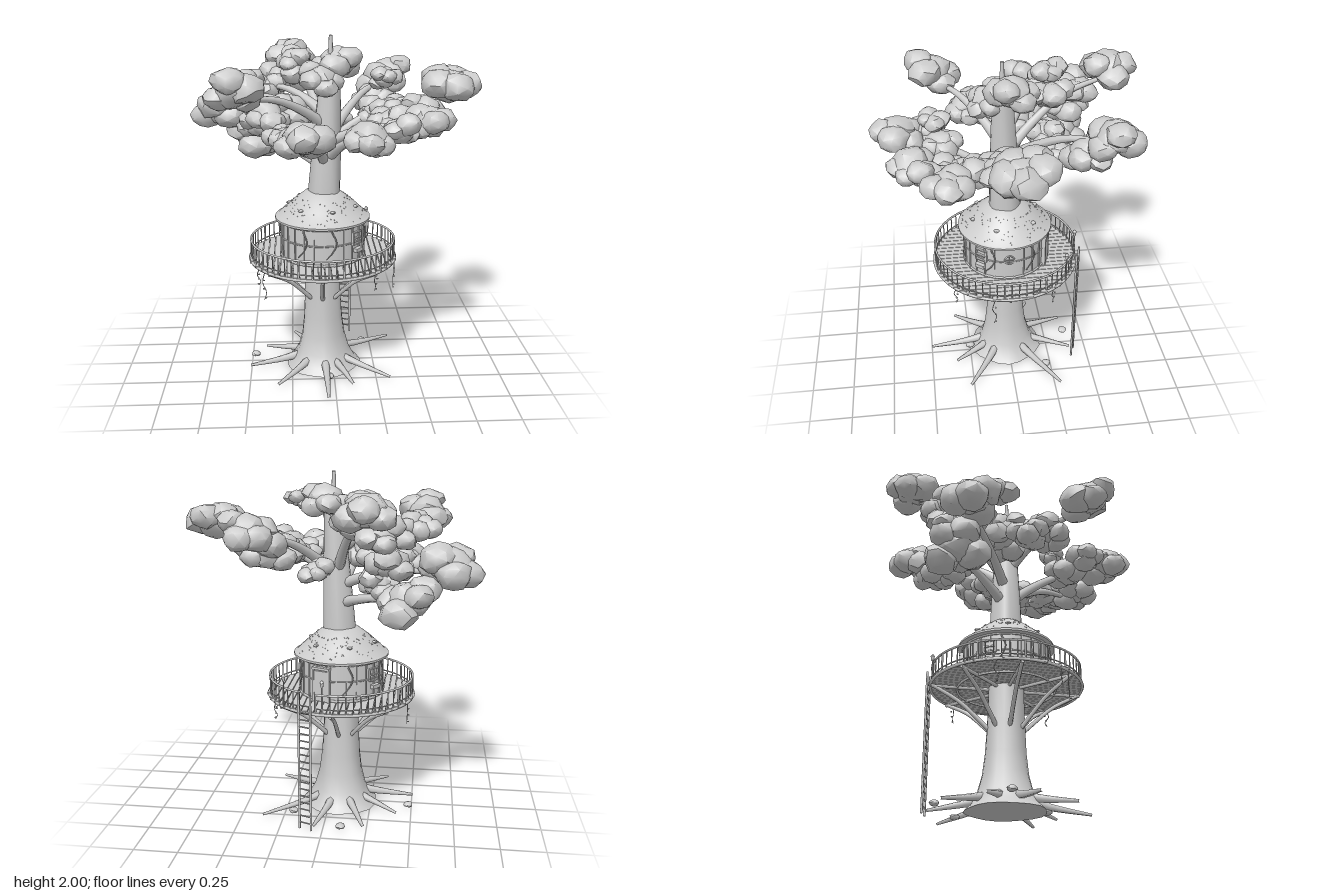
import * as THREE from 'three';
import { mergeGeometries, mergeVertices, toCreasedNormals } from 'three/addons/utils/BufferGeometryUtils.js';

const V = (x, y, z) => new THREE.Vector3(x, y, z);
const RAD = Math.PI / 180;
const CX = -0.06, CZ = 0.015; // tree axis at the deck

let seed = 7;
const rnd = () => { seed = (seed * 16807) % 2147483647; return seed / 2147483647; };
const spread = (s) => (rnd() * 2 - 1) * s;

// point at an angle, radius and height around the tree axis
const polar = (deg, r, y) => V(CX + Math.cos(deg * RAD) * r, y, CZ + Math.sin(deg * RAD) * r);

// straight rod between two points
function rod(a, b, r0, r1 = r0, sides = 6) {
  const g = new THREE.CylinderGeometry(r1, r0, a.distanceTo(b), sides);
  const q = new THREE.Quaternion().setFromUnitVectors(V(0, 1, 0), b.clone().sub(a).normalize());
  const m = a.clone().add(b).multiplyScalar(0.5);
  return g.applyQuaternion(q).translate(m.x, m.y, m.z);
}

// curved tube that thins towards its end
function taper(points, r0, r1, seg = 10, sides = 7) {
  const path = new THREE.CatmullRomCurve3(points);
  const g = new THREE.TubeGeometry(path, seg, r0, sides);
  const p = g.attributes.position, v = V(0, 0, 0);
  for (let i = 0; i < p.count; i++) {
    const t = Math.floor(i / (sides + 1)) / seg, c = path.getPointAt(t);
    v.fromBufferAttribute(p, i).sub(c).multiplyScalar(1 + (r1 / r0 - 1) * t).add(c);
    p.setXYZ(i, v.x, v.y, v.z);
  }
  return g;
}

// box on the house wall, facing outwards
function wallBox(deg, r, y, w, h, d) {
  const c = polar(deg, r, y);
  return new THREE.BoxGeometry(w, h, d).rotateY(Math.PI / 2 - deg * RAD).translate(c.x, c.y, c.z);
}

const ringAt = (r, y, t, sides = 6) =>
  new THREE.TorusGeometry(r, t, sides, 64).rotateX(Math.PI / 2).translate(CX, y, CZ);

// lumpy squashed ball with soft facets
function lump(x, y, z, r, squash = 0.8) {
  const g = new THREE.IcosahedronGeometry(1, 1);
  g.deleteAttribute('normal'); g.deleteAttribute('uv');
  const m = mergeVertices(g, 1e-4), p = m.attributes.position;
  for (let i = 0; i < p.count; i++) {
    const k = r * (1 + spread(0.1));
    p.setXYZ(i, p.getX(i) * k, p.getY(i) * k * squash, p.getZ(i) * k);
  }
  m.rotateY(rnd() * 6).translate(x, y, z);
  return toCreasedNormals(m, 0.75);
}

export function createModel() {
  const group = new THREE.Group();
  group.name = 'treeHouse';
  const grey = new THREE.MeshStandardMaterial({ color: 0xcccccc });
  grey.name = 'plainGrey';
  const add = (name, geos) => {
    const mesh = new THREE.Mesh(Array.isArray(geos) ? mergeGeometries(geos) : geos, grey);
    mesh.name = name;
    group.add(mesh);
  };

  // trunk: flared lathe, leaning slightly towards the top
  const profile = [[0, 0], [0.225, 0], [0.19, 0.035], [0.155, 0.1], [0.129, 0.2], [0.115, 0.32], [0.106, 0.5], [0.1, 0.7],
    [0.094, 1.1], [0.086, 1.3], [0.075, 1.5], [0.063, 1.7], [0.055, 1.87], [0, 1.88]].map(([r, y]) => new THREE.Vector2(r, y));
  const lean = (y) => [CX + 0.05 * Math.max(0, y - 0.9), 0.012 + 0.02 * Math.max(0, y - 0.9)];
  const trunk = new THREE.LatheGeometry(profile, 20);
  const tp = trunk.attributes.position;
  for (let i = 0; i < tp.count; i++) {
    const x = tp.getX(i), y = tp.getY(i), z = tp.getZ(i), a = Math.atan2(x, z), [lx, lz] = lean(y);
    const k = 1 + 0.03 * Math.sin(a * 5 + y * 4);
    tp.setXYZ(i, x * k + lx, y, z * k + lz);
  }
  add('trunk', toCreasedNormals(trunk, 0.9));
  add('topSpike', rod(V(-0.012, 1.85, 0.032), V(-0.012, 2, 0.032), 0.016, 0.01, 8));

  // roots: angle and reach
  const roots = [[-36, 0.53], [32, 0.47], [62, 0.37], [87, 0.485], [130, 0.42], [170, 0.45], [207, 0.4], [245, 0.42], [285, 0.43]];
  add('roots', roots.map(([a, l]) =>
    taper([polar(a, 0.12, 0.068), polar(a, 0.25, 0.042), polar(a + 1, l, 0.014)], 0.027, 0.008, 6, 6)));

  // deck planks, rim and joists
  const R = 0.43, planks = [];
  for (let x = -R + 0.018; x < R; x += 0.0359) {
    const half = Math.sqrt(R * R - x * x);
    planks.push(new THREE.BoxGeometry(0.032, 0.014, half * 2).translate(CX + x, 0.709, CZ));
  }
  add('deckPlanks', planks);
  add('deckRim', [ringAt(0.432, 0.705, 0.009), ringAt(0.28, 0.694, 0.007)]);
  const joists = [], braces = [];
  for (let i = 0; i < 8; i++) {
    const a = i * 45 + 2;
    joists.push(rod(polar(a, 0.08, 0.692), polar(a, 0.43, 0.692), 0.01));
    braces.push(taper([polar(a, 0.1, 0.455), polar(a, 0.17, 0.522), polar(a, 0.27, 0.61), polar(a, 0.41, 0.69)], 0.013, 0.011, 8, 6));
  }
  add('deckJoists', joists);
  add('deckBraces', braces);

  // railing with a gap at the ladder
  const LA = -69.6, posts = [], rail = [];
  for (let i = 0; i <= 60; i++) {
    const a = LA + 7 + i * (346 / 60);
    posts.push(rod(polar(a, 0.425, 0.71), polar(a, 0.425, 0.818), i % 6 ? 0.0035 : 0.006, undefined, 5));
    rail.push(polar(a, 0.425, 0.817));
  }
  add('railPosts', posts);
  add('handRail', [new THREE.TubeGeometry(new THREE.CatmullRomCurve3(rail), 90, 0.0065, 6),
    new THREE.TubeGeometry(new THREE.CatmullRomCurve3(rail.map((p) => p.clone().setY(0.735))), 90, 0.004, 5)]);

  // ladder
  const ladder = [-4.7, 4.7].map((d) => rod(polar(LA + d, 0.455, 0), polar(LA + d, 0.455, 0.82), 0.007));
  for (let i = 0; i < 18; i++) {
    const y = 0.04 + i * 0.042;
    ladder.push(rod(polar(LA - 4.7, 0.455, y), polar(LA + 4.7, 0.455, y), 0.0045, undefined, 5));
  }
  add('ladder', ladder);

  // lamp posts beside the ladder
  for (const [x, z] of [[0.23, -0.315], [0, -0.405]]) {
    add('lampPost', [rod(V(x, 0.71, z), V(x, 0.87, z), 0.004),
      rod(V(x, 0.865, z), V(x, 0.89, z), 0.008, 0.012), rod(V(x, 0.89, z), V(x, 0.905, z), 0.014, 0.003)]);
  }

  // round house wall with battens and bands
  add('houseWall', new THREE.CylinderGeometry(0.246, 0.246, 0.235, 48).translate(CX, 0.832, CZ));
  const battens = [];
  for (let i = 0; i < 26; i++) battens.push(wallBox(i * 360 / 26 + 7, 0.247, 0.832, 0.007, 0.235, 0.01));
  add('wallBattens', battens);
  add('wallBands', [ringAt(0.246, 0.724, 0.008), ringAt(0.246, 0.84, 0.005), ringAt(0.25, 0.938, 0.007)]);

  // door towards the ladder
  add('door', [wallBox(LA, 0.252, 0.81, 0.085, 0.18, 0.02), wallBox(LA - 10.5, 0.254, 0.815, 0.014, 0.2, 0.03),
    wallBox(LA + 10.5, 0.254, 0.815, 0.014, 0.2, 0.03), wallBox(LA, 0.254, 0.915, 0.11, 0.014, 0.03)]);

  // round window, square windows and flower boxes
  const w = polar(0, 0.25, 0.855);
  add('roundWindow', [new THREE.TorusGeometry(0.028, 0.005, 6, 20).rotateY(Math.PI / 2).translate(w.x, w.y, w.z),
    rod(V(w.x, 0.828, w.z), V(w.x, 0.882, w.z), 0.003), rod(V(w.x, w.y, w.z - 0.027), V(w.x, w.y, w.z + 0.027), 0.003)]);
  for (const a of [40, 215]) {
    add('window', [wallBox(a, 0.25, 0.865, 0.07, 0.008, 0.016), wallBox(a, 0.25, 0.9, 0.07, 0.008, 0.016),
      wallBox(a, 0.25, 0.83, 0.07, 0.008, 0.016), wallBox(a - 8, 0.25, 0.865, 0.008, 0.075, 0.016),
      wallBox(a + 8, 0.25, 0.865, 0.008, 0.075, 0.016), wallBox(a, 0.262, 0.795, 0.06, 0.022, 0.025)]);
  }

  // conical roof with eave and scattered studs
  const roof = [[0.235, 0.935], [0.28, 0.945], [0.28, 0.957], [0.265, 0.964], [0.2, 1.025], [0.15, 1.068], [0.1, 1.105], [0.08, 1.11]];
  add('roof', toCreasedNormals(new THREE.LatheGeometry(roof.map(([r, y]) => new THREE.Vector2(r, y)), 40).translate(CX, 0, CZ), 0.5));
  const studs = [];
  for (let i = 0; i < 170; i++) {
    const t = rnd(), c = polar(rnd() * 360, 0.26 - t * 0.12, 0.969 + t * 0.109);
    studs.push(new THREE.OctahedronGeometry(0.003 + rnd() * 0.002).translate(c.x, c.y, c.z));
  }
  add('roofStuds', studs);
  const moss = [];
  for (const a of [20, 75, 130, 190, 250, 310]) {
    const c = polar(a, 0.2, 1.026);
    moss.push(lump(c.x, c.y, c.z, 0.016, 0.5));
  }
  add('roofMoss', moss);

  // creepers on the wall and hanging from the deck
  const vines = [];
  for (const a of [118, 25, 80, 200, 255, 330]) {
    vines.push(taper([polar(a, 0.255, 0.93), polar(a - 6, 0.26, 0.86), polar(a, 0.258, 0.8), polar(a + 7, 0.257, 0.765)], 0.005, 0.003, 10, 5));
  }
  for (const [a, l] of [[14, 0.17], [48, 0.1], [142, 0.17], [150, 0.1], [200, 0.13], [325, 0.1]]) {
    vines.push(taper([polar(a, 0.43, 0.7), polar(a + 2, 0.435, 0.7 - l * 0.4), polar(a - 1, 0.425, 0.7 - l * 0.7), polar(a + 1, 0.43, 0.7 - l)], 0.003, 0.002, 8, 5));
    for (let k = 1; k < 4; k++) {
      const c = polar(a + spread(1.5), 0.432, 0.7 - l * k * 0.3);
      vines.push(new THREE.SphereGeometry(0.006, 6, 4).scale(1.3, 0.7, 1).translate(c.x, c.y, c.z));
    }
  }
  add('vines', vines);

  // stones around the base
  add('stones', [[-0.48, -0.06], [-0.1, -0.38], [-0.03, 0.25], [0.2, -0.22]]
    .map(([x, z]) => lump(x, 0.018, z, 0.028, 0.6)));

  // branches: start height on the trunk, then tip
  const limbs = [[1.45, -0.25, 1.78, -0.58], [1.36, -0.62, 1.5, -0.32], [1.42, 0.36, 1.68, -0.5], [1.4, 0.62, 1.66, 0], [1.4, 0.45, 1.54, 0.33],
    [1.3, 0.17, 1.48, 0.48], [1.28, -0.18, 1.5, 0.6], [1.5, -0.5, 1.7, 0.37], [1.25, -0.43, 1.34, -0.37], [1.55, -0.38, 1.7, -0.22]];
  add('branches', limbs.map(([y, tx, ty, tz]) => {
    const [sx, sz] = lean(y), at = (t, h) => V(sx + (tx - sx) * t, y + (ty - y) * h, sz + (tz - sz) * t);
    return taper([at(0, -0.1), at(0.25, 0.4), at(0.6, 0.85), at(1, 1)], 0.034, 0.012, 12, 8);
  }));

  // foliage clusters at the branch tips: centre and size
  const tips = [[-0.25, 1.845, -0.6, 0.14], [-0.67, 1.54, -0.33, 0.15], [0.37, 1.73, -0.51, 0.135], [0.67, 1.71, 0, 0.15],
    [0.5, 1.57, 0.36, 0.125], [0.16, 1.53, 0.54, 0.125], [-0.18, 1.54, 0.61, 0.135], [-0.53, 1.75, 0.39, 0.145],
    [-0.46, 1.36, -0.36, 0.15], [0.03, 1.85, -0.02, 0.13]];
  // foliage clusters along the branches
  const inner = [[-0.3, 1.7, -0.43, 0.12], [-0.17, 1.73, -0.25, 0.125], [-0.51, 1.72, -0.13, 0.1], [-0.36, 1.56, -0.39, 0.12],
    [0.28, 1.6, -0.39, 0.135], [0.49, 1.59, 0.07, 0.115], [0.33, 1.58, 0.02, 0.105], [0.31, 1.53, 0.19, 0.12], [0.32, 1.54, 0.45, 0.11],
    [-0.13, 1.48, 0.37, 0.115], [-0.27, 1.5, 0.45, 0.105], [-0.37, 1.6, 0.2, 0.115], [-0.42, 1.51, 0.06, 0.11], [-0.29, 1.42, -0.26, 0.105],
    [-0.07, 1.77, 0.1, 0.115], [-0.24, 1.58, -0.06, 0.125], [-0.22, 1.84, -0.24, 0.1], [0.25, 1.55, -0.02, 0.1], [0.05, 1.48, -0.28, 0.085],
    [0.25, 1.81, 0.41, 0.075], [-0.38, 1.68, -0.23, 0.1], [0.21, 1.49, 0.32, 0.1]];
  for (const [x, y, z, s] of [...tips, ...inner]) {
    const lumps = [lump(x, y, z, s * 0.8)];
    const turn = rnd() * 6;
    for (let i = 0; i < 5; i++) {
      const a = turn + i * 1.257, d = s * (0.48 + rnd() * 0.14);
      lumps.push(lump(x + Math.cos(a) * d, y + spread(s * 0.42), z + Math.sin(a) * d, s * (0.55 + rnd() * 0.15)));
    }
    add('foliageCluster', lumps);
  }
  return group;
}
